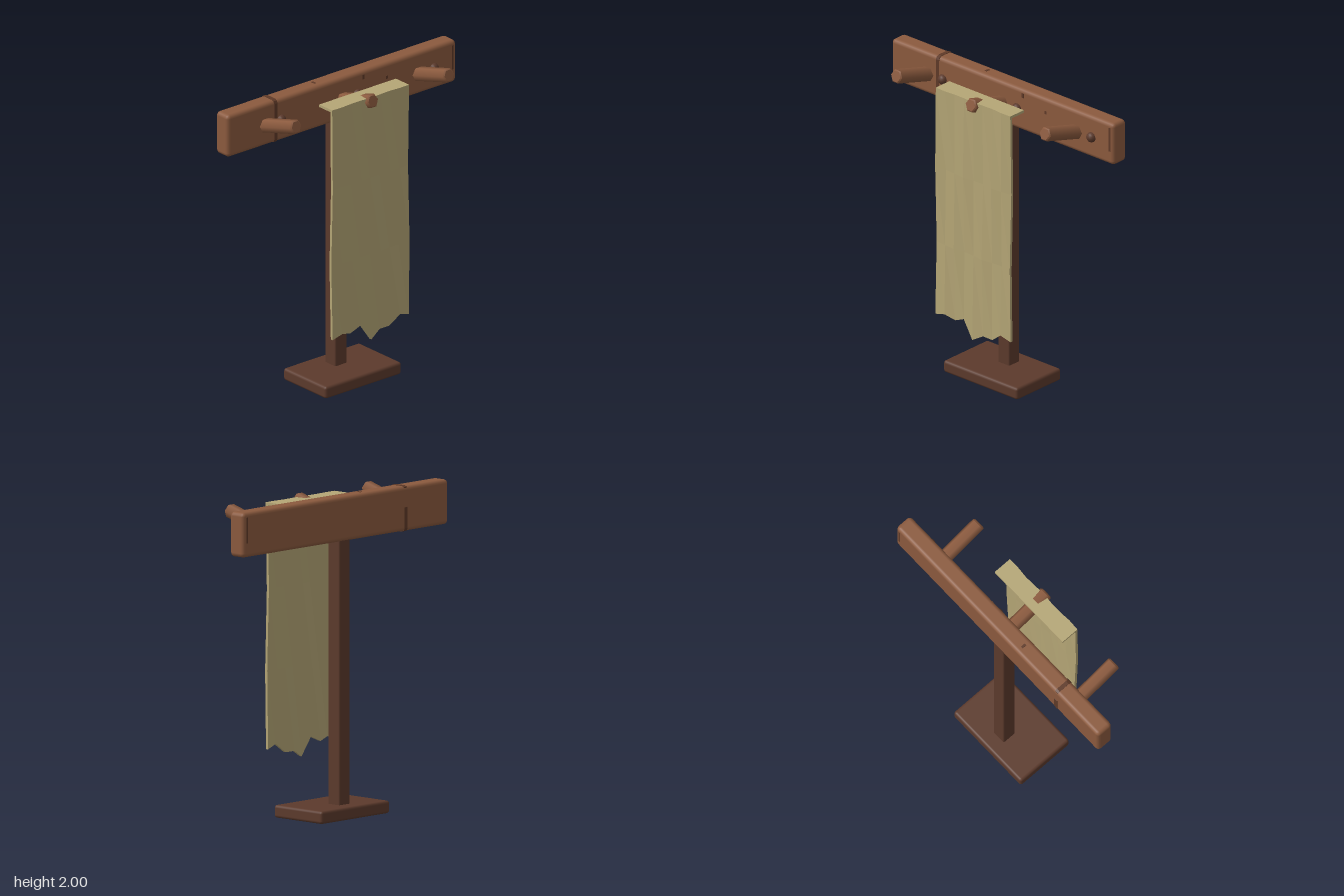
import * as THREE from 'three';
import { RoundedBoxGeometry } from 'three/addons/geometries/RoundedBoxGeometry.js';

const wood = new THREE.MeshStandardMaterial({ color: 0x8b5a3e });
wood.name = 'warm wood';
const darkWood = new THREE.MeshStandardMaterial({ color: 0x5c3a2c });
darkWood.name = 'dark wood';
const grain = new THREE.MeshStandardMaterial({ color: 0x5f3a28 });
grain.name = 'wood grain';
const linen = new THREE.MeshStandardMaterial({ color: 0xb5a676, flatShading: true });
linen.name = 'linen';

function add(parent, name, geometry, material, x = 0, y = 0, z = 0) {
  const mesh = new THREE.Mesh(geometry, material);
  mesh.name = name;
  mesh.position.set(x, y, z);
  parent.add(mesh);
  return mesh;
}

// Six-sided peg along +z with a slightly bevelled tip
function makePeg(x) {
  const peg = new THREE.Group();
  peg.name = 'peg';
  const length = 0.31, bevel = 0.008, r = 0.046;
  const shaft = new THREE.CylinderGeometry(r, r, length, 6, 1, true);
  const tip = new THREE.CylinderGeometry(r - bevel, r, bevel, 6);
  shaft.translate(0, length / 2, 0);
  tip.translate(0, length + bevel / 2, 0);
  for (const [name, g] of [['pegShaft', shaft], ['pegTip', tip]]) {
    g.rotateY(Math.PI / 6);
    g.rotateX(Math.PI / 2);
    add(peg, name, g, wood);
  }
  peg.position.set(x, 1.854, -0.063);
  peg.rotation.x = -0.28;
  return peg;
}

// Thick cloth folded over the peg: one closed section per column, lofted across x
function makeCloth() {
  const hem = [0.42, 0.44, 0.42, 0.455, 0.34, 0.385, 0.385, 0.445, 0.42];
  const cols = hem.length, thick = 0.018;
  const columns = hem.map((bottom, c) => {
    const x = -0.31 + 0.62 * c / (cols - 1);
    const outer = [new THREE.Vector3(x, 1.957, 0.095)];
    const inner = [new THREE.Vector3(x, 1.94, 0.095)];
    [1.957, 1.42, 0.91, bottom].forEach((y, r) => {
      const z = 0.218 + (r ? 0.008 : 0.004) * Math.sin(c * 1.9 + r * 2.3);
      outer.push(new THREE.Vector3(x, y, z));
      inner.push(new THREE.Vector3(x, r ? y : 1.94, z - thick));
    });
    return { outer, inner, loop: [...outer, ...inner.slice().reverse()] };
  });
  const points = [];
  const quad = (a, b, c, d) => points.push(a, b, c, a, c, d);
  for (let c = 0; c < cols - 1; c++) {
    const p = columns[c].loop, q = columns[c + 1].loop;
    for (let k = 0; k < p.length; k++) {
      const n = (k + 1) % p.length;
      quad(p[k], p[n], q[n], q[k]);
    }
  }
  const first = columns[0], last = columns[cols - 1];
  for (let r = 0; r < first.outer.length - 1; r++) {
    quad(first.outer[r], first.inner[r], first.inner[r + 1], first.outer[r + 1]);
    quad(last.outer[r], last.outer[r + 1], last.inner[r + 1], last.inner[r]);
  }
  const geometry = new THREE.BufferGeometry().setFromPoints(points);
  geometry.computeVertexNormals();
  return geometry;
}

// Dark band wrapping the board, sinking into it on the upper back
function makeGrainBand() {
  const shape = new THREE.Shape([
    [0.061, -0.12], [0.061, 0.12], [0.054, 0.136], [0.037, 0.143],
    [-0.037, 0.143], [-0.054, 0.136], [-0.05, 0.02], [-0.061, 0.01],
    [-0.061, -0.12], [-0.054, -0.136], [-0.037, -0.143], [0.037, -0.143], [0.054, -0.136],
  ].map(([z, y]) => new THREE.Vector2(-z, y)));
  const g = new THREE.ExtrudeGeometry(shape, { depth: 0.026, bevelEnabled: false });
  g.translate(0, 0, -0.013);
  g.rotateY(Math.PI / 2);
  return g;
}

export function createModel() {
  const model = new THREE.Group();
  model.name = 'pegRack';

  // Stand
  add(model, 'base', new RoundedBoxGeometry(0.616, 0.08, 0.405, 2, 0.018), darkWood, 0, 0.04, -0.048);
  add(model, 'post', new RoundedBoxGeometry(0.096, 1.72, 0.097, 2, 0.01), darkWood, 0, 0.91, -0.108);

  // Board with grain marks
  add(model, 'board', new RoundedBoxGeometry(1.85, 0.28, 0.118, 2, 0.026), wood, 0, 1.86, -0.109);
  add(model, 'grainBand', makeGrainBand(), grain, -0.538, 1.86, -0.109);
  for (const z of [-0.05, -0.168]) {
    add(model, 'endGrain', new THREE.BoxGeometry(0.014, 0.16, 0.004), grain, 0.892, 1.89, z);
  }
  add(model, 'grainFleck', new THREE.BoxGeometry(0.015, 0.02, 0.004), grain, 0.36, 1.905, -0.05);
  add(model, 'grainFleck', new THREE.BoxGeometry(0.016, 0.004, 0.03), grain, -0.18, 2, -0.11);
  add(model, 'grainFleck', new THREE.BoxGeometry(0.016, 0.03, 0.004), grain, 0.17, 1.96, -0.05);

  // Pegs and knots
  for (const x of [-0.62, 0, 0.615]) model.add(makePeg(x));
  for (const x of [-0.495, 0.122, 0.74]) {
    add(model, 'knot', new THREE.SphereGeometry(0.033, 10, 8), darkWood, x, 1.86, -0.05);
  }

  add(model, 'hangingCloth', makeCloth(), linen);
  return model;
}
